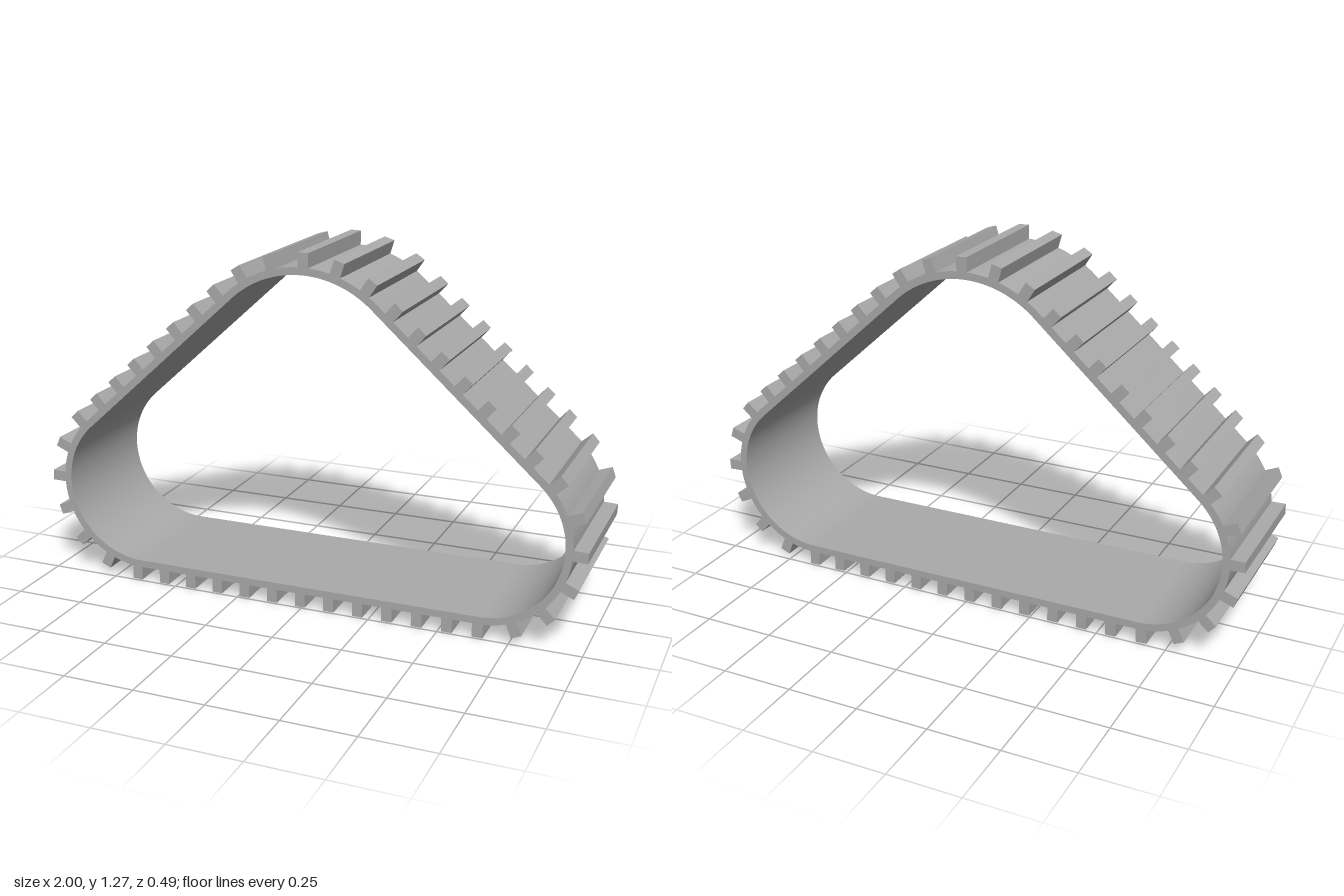
import * as THREE from 'three';
import { toCreasedNormals } from 'three/addons/utils/BufferGeometryUtils.js';

const DEPTH = 0.485;
const THICK = 0.026;                                  // belt thickness
const LUG = { count: 44, width: 0.038, height: 0.05, sink: 0.005 };
const LOW = { x: 0.642, y: 0.358, r: 0.308 };         // lower corner arcs
const TOP = { y: 0.815, r: 0.4 };                     // upper corner arc

// Rounded triangle running counter-clockwise, shrunk by an inset
function loop(PathClass, inset) {
  const dy = TOP.y - LOW.y;
  const slope = Math.atan2(dy, LOW.x) + Math.asin((TOP.r - LOW.r) / Math.hypot(LOW.x, dy));
  const a = Math.PI / 2 - slope;                      // normal of the right flank
  const r = LOW.r - inset;
  const path = new PathClass();
  path.moveTo(-LOW.x, LOW.y - r);
  path.lineTo(LOW.x, LOW.y - r);
  path.absarc(LOW.x, LOW.y, r, -Math.PI / 2, a, false);
  path.absarc(0, TOP.y, TOP.r - inset, a, Math.PI - a, false);
  path.absarc(-LOW.x, LOW.y, r, Math.PI - a, Math.PI * 1.5, false);
  return path;
}

export function createModel() {
  const group = new THREE.Group();
  group.name = 'crawlerTrack';
  const rubber = new THREE.MeshStandardMaterial({ color: 0xaaaaaa });
  rubber.name = 'grey rubber';

  // Belt: outer loop with the inner loop cut out
  const outline = loop(THREE.Shape, 0);
  outline.holes.push(loop(THREE.Path, THICK));
  const beltGeo = new THREE.ExtrudeGeometry(outline, { depth: DEPTH, bevelEnabled: false, curveSegments: 32 });
  beltGeo.translate(0, 0, -DEPTH / 2);
  const belt = new THREE.Mesh(toCreasedNormals(beltGeo, Math.PI / 6), rubber);
  belt.name = 'belt';
  group.add(belt);

  // Lugs: evenly pitched along the inner loop, standing out from the belt
  const pitchLine = loop(THREE.Path, THICK);
  pitchLine.arcLengthDivisions = 1000;
  const length = pitchLine.getLength();
  const lugGeo = new THREE.BoxGeometry(LUG.width, LUG.height + LUG.sink, DEPTH);
  const reach = THICK + (LUG.height - LUG.sink) / 2;
  const lugs = new THREE.Group();
  lugs.name = 'lugs';
  for (let i = 0; i < LUG.count; i++) {
    const u = ((LOW.x + 0.64) / length + i / LUG.count) % 1;
    const p = pitchLine.getPointAt(u);
    const t = pitchLine.getTangentAt(u);
    const lug = new THREE.Mesh(lugGeo, rubber);
    lug.name = 'lug' + (i + 1);
    lug.position.set(p.x + t.y * reach, p.y - t.x * reach, 0);
    lug.rotation.z = Math.atan2(t.y, t.x);
    lugs.add(lug);
  }
  group.add(lugs);
  return group;
}
